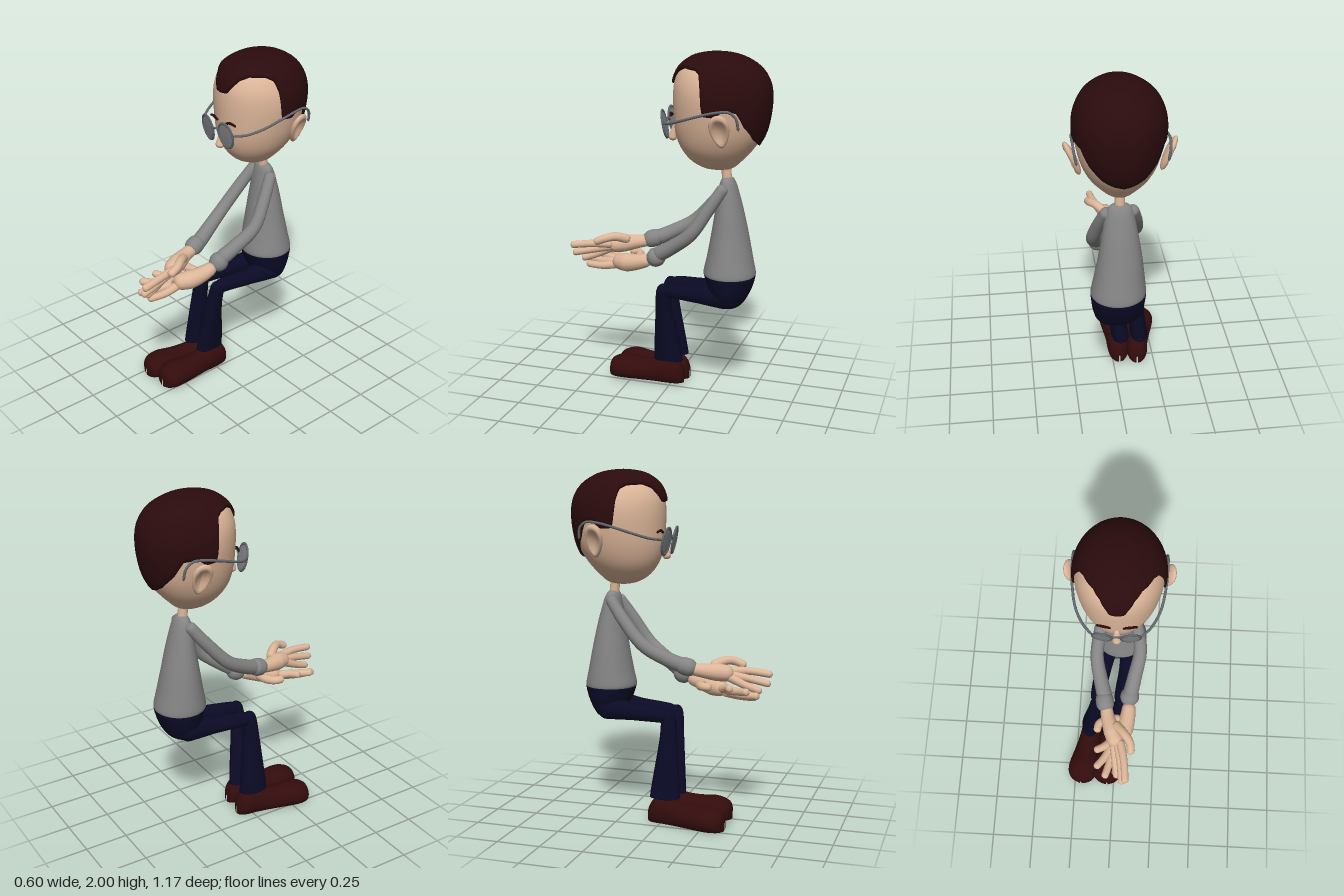
import * as THREE from 'three';
import { mergeVertices } from 'three/addons/utils/BufferGeometryUtils.js';

const material = (name, color, side = THREE.FrontSide) => {
  const m = new THREE.MeshStandardMaterial({ color, side });
  m.name = name;
  return m;
};

// Sample a table of rows with a uniform Catmull-Rom spline, u in 0..1
function sample(rows, u) {
  const k = rows.length - 1, f = u * k, i = Math.min(Math.floor(f), k - 1), t = f - i;
  const [a, b, c, d] = [i - 1, i, i + 1, i + 2].map(j => rows[Math.min(Math.max(j, 0), k)]);
  return b.map((_, n) => b[n] + 0.5 * t * (c[n] - a[n] +
    t * (2 * a[n] - 5 * b[n] + 4 * c[n] - d[n] + t * (3 * (b[n] - c[n]) + d[n] - a[n]))));
}

// Skin a closed grid of points: point(u, angle) gives [x, y, z]
function skinSurface(point, rows, sides) {
  const pos = [], index = [];
  for (let i = 0; i <= rows; i++)
    for (let j = 0; j < sides; j++) pos.push(...point(i / rows, j / sides * Math.PI * 2));
  for (let i = 0; i < rows; i++)
    for (let j = 0; j < sides; j++) {
      const a = i * sides + j, b = i * sides + (j + 1) % sides;
      index.push(a, b, a + sides, b, b + sides, a + sides);
    }
  const g = new THREE.BufferGeometry();
  g.setAttribute('position', new THREE.Float32BufferAttribute(pos, 3));
  g.setIndex(index);
  g.computeVertexNormals();
  return g;
}

// Upright body from rows of [y, front z, back z, half width, centre x]
const bodyPoint = (rows, u, a) => {
  const [y, f, b, rx, cx] = sample(rows, u);
  return [cx + Math.max(rx, 0) * Math.sin(a), y, (f + b) / 2 + (f - b) / 2 * Math.cos(a)];
};
const body = rows => skinSurface((u, a) => bodyPoint(rows, u, a), 36, 40);

// Round-ended limb through points of [x, y, z, radius]
function limb(points, sides = 16, n = 40) {
  const curve = new THREE.CatmullRomCurve3(points.map(p => new THREE.Vector3(p[0], p[1], p[2])));
  let g = new THREE.TubeGeometry(curve, n, 1, sides);
  const pos = g.attributes.position, len = curve.getLength(), v = new THREE.Vector3();
  for (let i = 0; i <= n; i++) {
    const u = i / n, c = curve.getPointAt(u);
    const f = curve.getUtoTmapping(u) * (points.length - 1), k = Math.min(Math.floor(f), points.length - 2);
    let r = THREE.MathUtils.lerp(points[k][3], points[k + 1][3], f - k);
    const d = Math.min(u, 1 - u) * len;
    if (d < r) r *= Math.sqrt(Math.max(0, 1 - (1 - d / r) ** 2));
    for (let j = 0; j <= sides; j++) {
      const q = i * (sides + 1) + j;
      v.fromBufferAttribute(pos, q).sub(c).multiplyScalar(r).add(c);
      pos.setXYZ(q, v.x, v.y, v.z);
    }
  }
  g.deleteAttribute('uv');
  g.deleteAttribute('normal');
  g = mergeVertices(g, 1e-5);
  g.computeVertexNormals();
  return g;
}

const HEAD = [
  [1.345, -0.28, -0.29, 0, 0], [1.36, -0.2, -0.37, 0.065, 0], [1.4, -0.13, -0.42, 0.115, 0],
  [1.47, -0.075, -0.485, 0.172, 0], [1.56, -0.045, -0.54, 0.21, 0], [1.66, -0.037, -0.565, 0.231, 0],
  [1.76, -0.034, -0.572, 0.238, 0], [1.84, -0.042, -0.557, 0.224, 0], [1.91, -0.075, -0.51, 0.185, 0],
  [1.96, -0.14, -0.43, 0.115, 0], [1.98, -0.21, -0.355, 0.06, 0], [1.986, -0.28, -0.281, 0, 0]];

// Hairline height by degrees away from the front
const HAIRLINE = [[0, 1.815], [9, 1.82], [14, 1.85], [25, 1.895], [40, 1.915], [65, 1.91], [75, 1.89],
  [78, 1.83], [81, 1.68], [95, 1.675], [105, 1.71], [120, 1.7], [132, 1.62], [150, 1.55], [165, 1.52], [180, 1.505]];
function hairPoint(u, a) {
  const deg = Math.min(a, Math.PI * 2 - a) * 180 / Math.PI;
  const k = Math.max(1, HAIRLINE.findIndex(h => h[0] >= deg - 1e-6));
  const [d0, y0] = HAIRLINE[k - 1], [d1, y1] = HAIRLINE[k];
  const edge = y0 + (y1 - y0) * (deg - d0) / (d1 - d0);
  let lo = 0, hi = 1;
  for (let i = 0; i < 24; i++) {
    const mid = (lo + hi) / 2;
    if (sample(HEAD, mid)[0] < edge) lo = mid; else hi = mid;
  }
  const s = u === 0 ? 0.99 : 1.05, w = Math.max(0, (u - 0.05) / 0.95);
  const p = bodyPoint(HEAD, lo + (1 - lo) * w, a);
  return [p[0] * s, 1.7 + (p[1] - 1.7) * s, -0.3 + (p[2] + 0.3) * s];
}

// Shoe rows: [z, centre x, half width, height]
const SHOE = [[-0.085, 0, 0.005, 0.05], [-0.075, 0, 0.035, 0.09], [-0.04, 0, 0.06, 0.135], [0.03, 0, 0.065, 0.15],
  [0.1, -0.005, 0.068, 0.128], [0.19, -0.01, 0.08, 0.12], [0.28, -0.015, 0.092, 0.125], [0.34, -0.015, 0.085, 0.112],
  [0.375, -0.015, 0.055, 0.09], [0.388, -0.015, 0.005, 0.05]];
const shoe = () => skinSurface((u, a) => {
  const [z, cx, w, h] = sample(SHOE, u);
  return [cx + w * Math.cos(a), Math.max(0, h * (0.4 + 0.6 * Math.sin(a))), z];
}, 36, 32);

export function createModel() {
  const model = new THREE.Group();
  const skin = material('skin', 0xddb699), hair = material('hair', 0x2b0b0d, THREE.DoubleSide);
  const shirt = material('shirt', 0x858585), trousers = material('trousers', 0x0a0a26);
  const leather = material('shoe leather', 0x330c0c), frame = material('spectacle frame', 0x64686c);
  const glass = material('lens', 0x85888b);
  const add = (name, geometry, mat, parent = model) => {
    const m = new THREE.Mesh(geometry, mat);
    m.name = name;
    parent.add(m);
    return m;
  };

  // Head, hair, neck and nose
  add('head', body(HEAD), skin);
  add('hair', skinSurface(hairPoint, 20, 180), hair);
  add('neck', limb([[0, 1.42, -0.325, 0.05], [0, 1.35, -0.335, 0.028], [0, 1.24, -0.345, 0.028]]), skin);
  add('nose', limb([[0, 1.6, -0.045, 0.014], [0, 1.54, -0.028, 0.022], [0, 1.495, -0.016, 0.027]]), skin);

  // Ears, brows and spectacles, mirrored
  for (const s of [1, -1]) {
    const earShape = new THREE.SphereGeometry(1, 24, 18), p = earShape.attributes.position;
    for (let i = 0; i < p.count; i++) {
      const y = p.getY(i), x = p.getX(i) * s, z = p.getZ(i);
      const dent = x > 0 ? 1.3 * Math.max(0, 1 - (y * y + z * z) * 1.6) : 0;
      p.setXYZ(i, (x - dent) * s * 0.026, y * 0.1, z * 0.066 * (0.8 + 0.25 * y));
    }
    earShape.computeVertexNormals();
    const ear = add('ear', earShape, skin);
    ear.position.set(s * 0.252, 1.605, -0.362);
    ear.rotation.set(0.12, s * 0.15, -s * 0.4);

    add('brow', limb([[s * 0.03, 1.645, -0.033, 0.006], [s * 0.07, 1.66, -0.034, 0.008], [s * 0.11, 1.65, -0.045, 0.006]], 8, 14), hair);
    const eyepiece = new THREE.Group();
    eyepiece.name = 'eyepiece';
    eyepiece.position.set(s * 0.076, 1.6, 0);
    eyepiece.rotation.set(0.2, s * 0.12, 0);
    add('lens', new THREE.SphereGeometry(1, 28, 14), glass, eyepiece).scale.set(0.052, 0.076, 0.004);
    add('rim', new THREE.TorusGeometry(0.052, 0.006, 10, 36), frame, eyepiece).scale.y = 1.45;
    model.add(eyepiece);
    add('temple arm', limb([[0.127, 1.612, -0.004], [0.18, 1.622, -0.06], [0.222, 1.648, -0.14], [0.243, 1.68, -0.24],
      [0.25, 1.705, -0.34], [0.25, 1.71, -0.41], [0.247, 1.68, -0.448], [0.235, 1.61, -0.46]]
      .map(q => [s * q[0], q[1], q[2], 0.0075]), 8, 48), frame);
  }
  add('bridge', limb([[-0.03, 1.605, 0.002, 0.006], [0, 1.622, 0.008, 0.006], [0.03, 1.605, 0.002, 0.006]], 8, 16), frame);

  // Torso and pelvis
  add('sweater', body([[0.745, -0.24, -0.5, 0.14, 0.01], [0.755, -0.217, -0.515, 0.155, 0.01], [0.85, -0.235, -0.495, 0.142, 0.005],
    [0.98, -0.257, -0.468, 0.122, 0], [1.12, -0.278, -0.436, 0.1, 0], [1.24, -0.296, -0.402, 0.078, 0],
    [1.29, -0.308, -0.382, 0.06, 0], [1.308, -0.325, -0.365, 0.03, 0], [1.309, -0.344, -0.346, 0, 0]]), shirt);
  add('trouser seat', body([[0.56, -0.384, -0.386, 0, 0.02], [0.563, -0.34, -0.42, 0.07, 0.02], [0.585, -0.3, -0.45, 0.115, 0.015],
    [0.64, -0.26, -0.482, 0.14, 0.012], [0.7, -0.235, -0.504, 0.151, 0.01], [0.75, -0.222, -0.512, 0.153, 0.01],
    [0.765, -0.25, -0.48, 0.13, 0.01]]), trousers);

  // Legs: [hip x, knee x, ankle x, lift]
  for (const [name, hip, knee, ankle, lift] of [['left', 0.085, 0.03, -0.05, 0.02], ['right', -0.065, -0.115, -0.167, 0]]) {
    add(name + ' thigh', limb([[hip, 0.63, -0.42, 0.075], [(hip + knee) / 2, 0.617, -0.2, 0.05],
      [knee, 0.612, -0.02, 0.042], [knee, 0.605, 0.025, 0.043]]), trousers);
    const leg = (t, y, f, b, r) => [y, f, b, r, ankle + (knee - ankle) * t];
    add(name + ' shin', body([leg(0, 0.14, 0.02, 0.01, 0), leg(0, 0.145, 0.1, -0.06, 0.048), leg(0.03, 0.17, 0.108, -0.066, 0.053),
      leg(0.35, 0.32, 0.095, -0.045, 0.049), leg(0.7, 0.48, 0.08, -0.022, 0.043), leg(1, 0.6, 0.068, -0.015, 0.041),
      leg(1, 0.64, 0.05, 0, 0.025), leg(1, 0.648, 0.026, 0.024, 0)]), trousers);
    const foot = add(name + ' shoe', shoe(), leather);
    foot.position.set(ankle + (lift ? 0.015 : 0.012), lift, 0);
    foot.rotation.y = lift ? 0.02 : -0.11;
  }

  // Sleeves and cuffs
  add('left sleeve', limb([[0.065, 1.275, -0.35, 0.033], [0.105, 1.14, -0.265, 0.036], [0.13, 0.995, -0.17, 0.038],
    [0.105, 0.9, -0.05, 0.042], [0.08, 0.83, 0.06, 0.046]]), shirt);
  add('right sleeve', limb([[-0.065, 1.28, -0.35, 0.033], [-0.1, 1.15, -0.25, 0.036], [-0.118, 1.01, -0.12, 0.038],
    [-0.09, 0.94, 0.0, 0.042], [-0.055, 0.89, 0.11, 0.046]]), shirt);
  add('left cuff', limb([[0.09, 0.855, 0.005, 0.055], [0.08, 0.822, 0.06, 0.056], [0.076, 0.805, 0.105, 0.053]]), shirt);
  add('right cuff', limb([[-0.075, 0.915, 0.055, 0.05], [-0.06, 0.892, 0.12, 0.052], [-0.05, 0.88, 0.175, 0.05]]), shirt);

  // Hands: the right rests above the upturned left
  const hands = {
    right: {
      palm: [[-0.055, 0.885, 0.12, 0.034], [-0.04, 0.872, 0.2, 0.04], [-0.01, 0.862, 0.28, 0.052], [0.025, 0.85, 0.37, 0.046]],
      thumb: [[0, 0.89, 0.24, 0.028], [0.06, 0.918, 0.31, 0.026], [0.095, 0.912, 0.36, 0.024], [0.105, 0.885, 0.425, 0.023]],
      'first finger': [[0.035, 0.865, 0.33, 0.026], [0.065, 0.865, 0.45, 0.022], [0.08, 0.848, 0.585, 0.021]],
      'second finger': [[0.02, 0.85, 0.33, 0.026], [0.045, 0.825, 0.45, 0.022], [0.06, 0.795, 0.58, 0.02]],
      'third finger': [[0, 0.845, 0.33, 0.026], [0.015, 0.795, 0.43, 0.022], [0.03, 0.755, 0.535, 0.02]]
    },
    left: {
      palm: [[0.08, 0.81, 0.08, 0.036], [0.075, 0.785, 0.16, 0.045], [0.055, 0.768, 0.24, 0.055], [0.015, 0.76, 0.33, 0.045]],
      thumb: [[0.04, 0.785, 0.18, 0.028], [-0.04, 0.785, 0.19, 0.026], [-0.09, 0.79, 0.22, 0.024], [-0.1, 0.79, 0.275, 0.022]],
      'first finger': [[0, 0.765, 0.3, 0.026], [-0.05, 0.78, 0.35, 0.023], [-0.11, 0.79, 0.385, 0.021]],
      'second finger': [[0, 0.76, 0.32, 0.026], [-0.045, 0.765, 0.41, 0.023], [-0.1, 0.775, 0.485, 0.021]],
      'third finger': [[0.01, 0.75, 0.33, 0.026], [-0.015, 0.74, 0.43, 0.023], [-0.045, 0.745, 0.535, 0.021]],
      'fourth finger': [[0.03, 0.745, 0.3, 0.026], [0.03, 0.725, 0.4, 0.022], [0.015, 0.722, 0.51, 0.02]]
    }
  };
  for (const [side, parts] of Object.entries(hands)) {
    const hand = new THREE.Group();
    hand.name = side + ' hand';
    for (const [part, points] of Object.entries(parts)) add(part, limb(points, 14, 30), skin, hand);
    model.add(hand);
  }
  return model;
}
